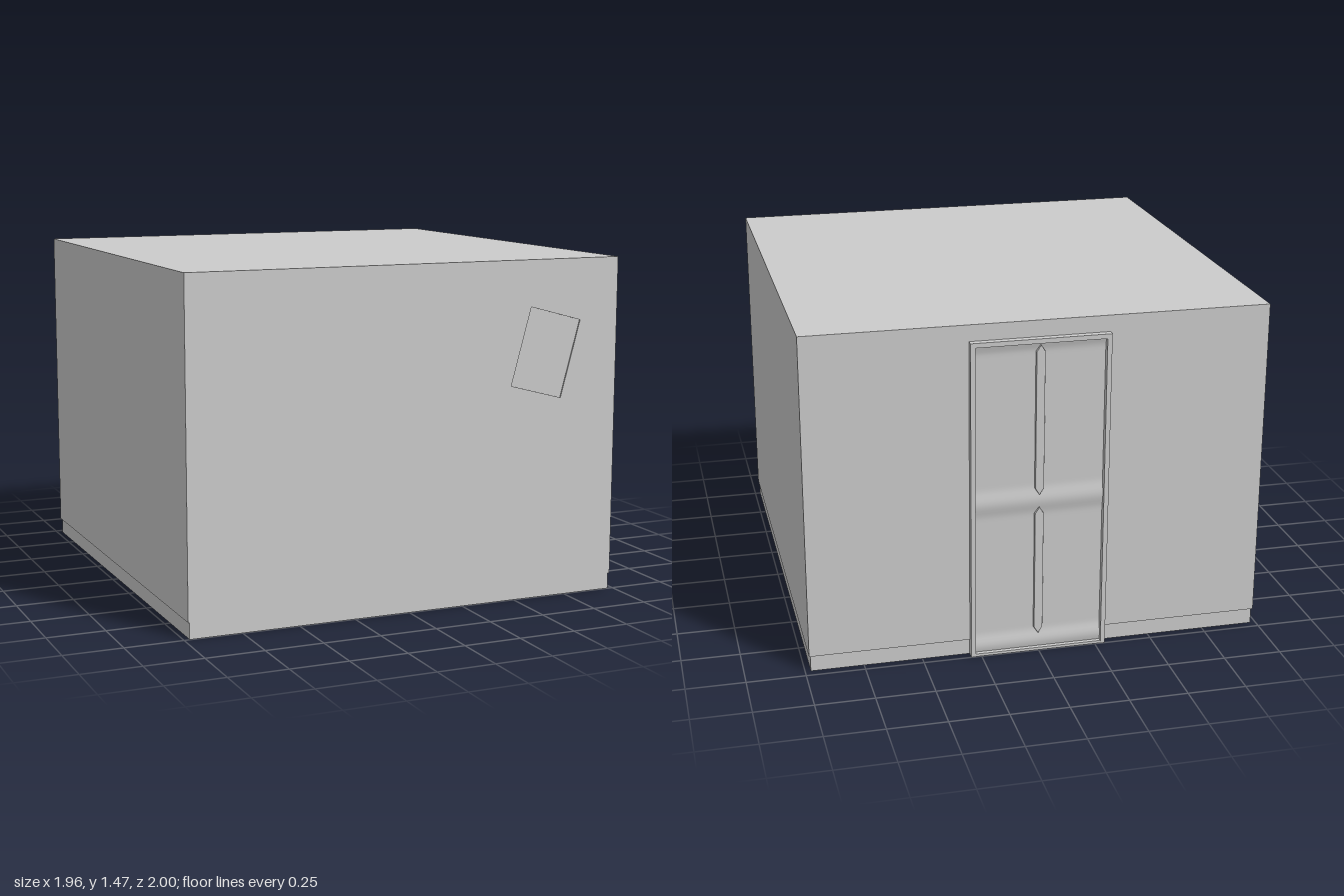
import * as THREE from 'three';

const HALF_X = 0.982, TOP = 1.47, BACK = -0.97, FRONT = 1.0, SKIRT = 0.07;

export function createModel() {
  const room = new THREE.Group();
  room.name = 'room';
  const mat = new THREE.MeshStandardMaterial({ color: 0xcccccc });

  const add = (name, geometry, parent = room) => {
    const mesh = new THREE.Mesh(geometry, mat);
    mesh.name = name;
    parent.add(mesh);
    return mesh;
  };
  // Box given by its limits on each axis
  const block = (name, [x0, x1], [y0, y1], [z0, z1], parent) => {
    const mesh = add(name, new THREE.BoxGeometry(x1 - x0, y1 - y0, z1 - z0), parent);
    mesh.position.set((x0 + x1) / 2, (y0 + y1) / 2, (z0 + z1) / 2);
    return mesh;
  };
  const points = (list) => list.map(([x, y]) => new THREE.Vector2(x, y));

  // Main shell standing slightly proud of the skirting below it
  const recess = 0.006;
  block('walls', [-HALF_X, HALF_X], [SKIRT, TOP], [BACK, FRONT - recess]);
  block('skirting', [-HALF_X + 0.006, HALF_X - 0.006], [0, SKIRT], [BACK + 0.006, FRONT - 0.002]);

  // Front wall skin with a tilted shallow picture recess
  const skin = new THREE.Shape(points([[-HALF_X, SKIRT], [HALF_X, SKIRT], [HALF_X, TOP], [-HALF_X, TOP]]));
  skin.holes.push(new THREE.Path(points([[0.47, 0.937], [0.56, 1.27], [0.8, 1.205], [0.711, 0.873]])));
  add('frontWall', new THREE.ExtrudeGeometry(skin, { depth: recess, bevelEnabled: false }))
    .position.z = FRONT - recess;

  // Door on the back wall
  const door = new THREE.Group();
  door.name = 'door';
  room.add(door);
  const halfDoor = 0.295, doorTop = 1.4, trim = 0.02;
  for (const s of [-1, 1]) {
    const xs = [s * halfDoor, s * (halfDoor - trim)].sort((a, b) => a - b);
    block('doorJamb', xs, [0, doorTop], [-1, BACK + 0.01], door);
  }
  const inner = halfDoor - trim;
  block('doorHead', [-inner, inner], [doorTop - trim, doorTop], [-1, BACK + 0.01], door);
  block('doorSill', [-inner, inner], [0, 0.012], [-0.998, BACK + 0.01], door);

  // Door leaf: a sheet whose depth swells softly at the rails
  const rails = [[0.04, 0.06], [0.69, 0.07], [1.39, 0.05]];
  const leaf = new THREE.PlaneGeometry(inner * 2, doorTop - trim, 1, 96);
  leaf.rotateY(Math.PI);
  leaf.translate(0, (doorTop - trim) / 2, 0);
  const pos = leaf.attributes.position;
  for (let i = 0; i < pos.count; i++) {
    let swell = 0;
    for (const [y, reach] of rails) {
      const t = Math.abs(pos.getY(i) - y) / reach;
      if (t < 1) swell = Math.max(swell, 0.5 + 0.5 * Math.cos(Math.PI * t));
    }
    pos.setZ(i, -0.974 - 0.01 * swell);
  }
  leaf.computeVertexNormals();
  add('doorLeaf', leaf, door);

  // Pointed upright mouldings between the panels
  for (const [y0, y1] of [[0.08, 0.655], [0.72, 1.365]]) {
    const w = 0.015, tip = 0.025;
    const strip = new THREE.Shape(points([
      [0, y0], [w, y0 + tip], [w, y1 - tip], [0, y1], [-w, y1 - tip], [-w, y0 + tip],
    ]));
    add('doorMoulding', new THREE.ExtrudeGeometry(strip, {
      depth: 0.012, bevelEnabled: true, bevelSize: 0.004, bevelThickness: 0.004, bevelSegments: 2,
    }), door).position.z = -0.984;
  }
  return room;
}
